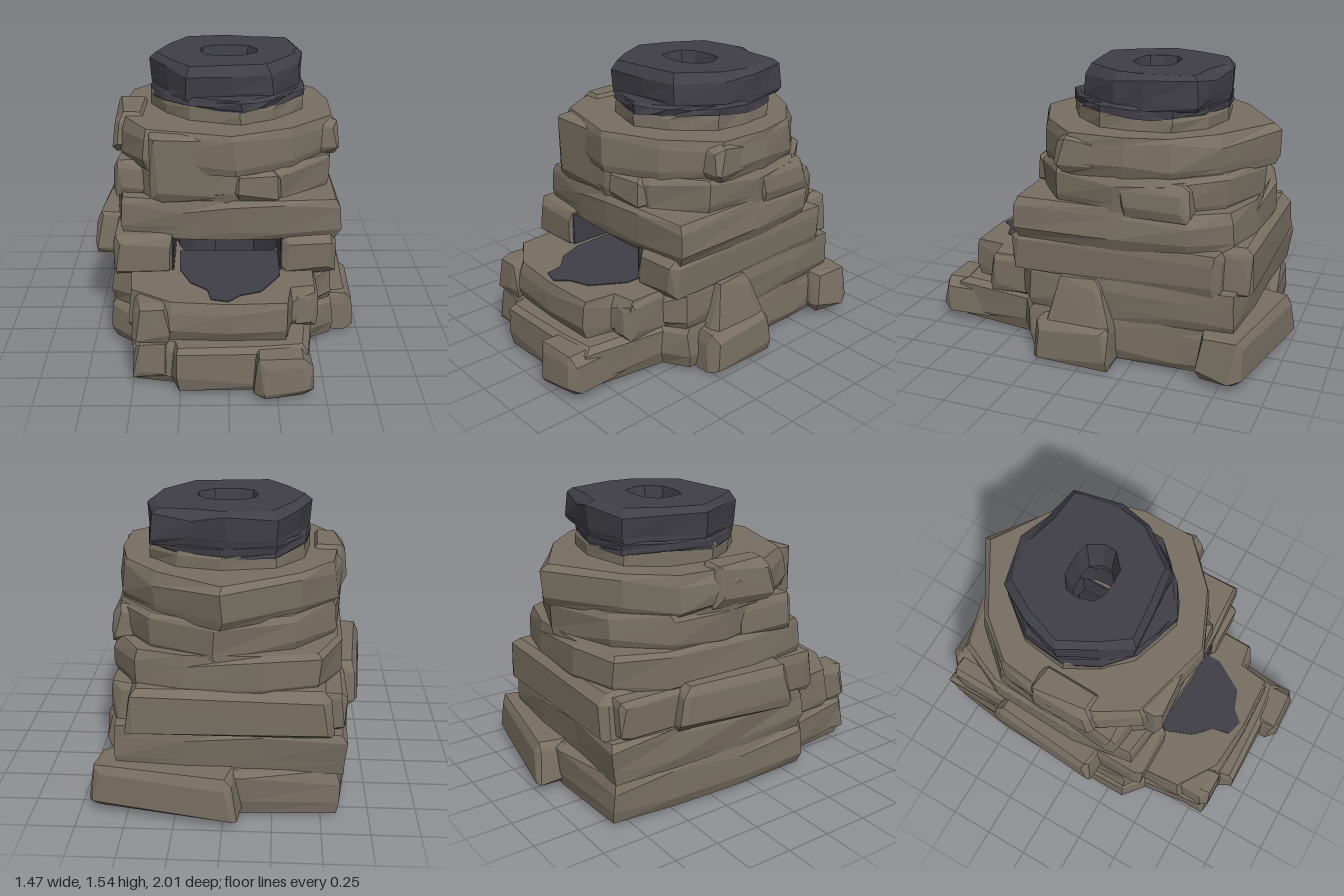
import * as THREE from 'three';
import { ConvexGeometry } from 'three/addons/geometries/ConvexGeometry.js';

const CX = 0.01, CZ = -0.19; // flue axis

export function createModel() {
  const group = new THREE.Group();
  const rock = new THREE.MeshStandardMaterial({ color: 0x786f62 });
  rock.name = 'rock';
  const soot = new THREE.MeshStandardMaterial({ color: 0x403f47 });
  soot.name = 'soot';

  let seed = 7;
  const rnd = (a) => {
    seed = (seed * 16807) % 2147483647;
    return (seed / 2147483647 * 2 - 1) * a;
  };
  const add = (name, geo, mat) => {
    const mesh = new THREE.Mesh(geo, mat);
    mesh.name = name;
    group.add(mesh);
    return mesh;
  };

  // A hollow stone course: outline [x, z] counterclockwise from above, with a rounded square hole
  function course(name, outline, y0, y1, hole, mats,
    { ragged = 0, holeTop = hole, bottom = 0.975, top = 0.96 } = {}) {
    const h = y1 - y0;
    const outer = (k, y, dip = 0) => outline.map(([x, z]) => [
      CX + (x - CX) * k + rnd(0.01), y + rnd(dip), CZ + (z - CZ) * k + rnd(0.01)]);
    const inner = (y, [rx, rz]) => outline.map(([x, z]) => {
      const a = Math.atan2(z - CZ, x - CX);
      const r = (Math.abs(Math.cos(a) / rx) ** 3 + Math.abs(Math.sin(a) / rz) ** 3) ** (-1 / 3);
      return [CX + r * Math.cos(a), y, CZ + r * Math.sin(a)];
    });
    const loops = [inner(y0, hole), outer(bottom, y0, ragged), outer(1, y0 + h * 0.24, h * 0.12),
      outer(0.995, y1 - h * 0.2, h * 0.12), outer(top, y1), inner(y1, holeTop)];
    loops.push(loops[0]);
    const pos = [], n = outline.length;
    for (let s = 0; s < 6; s++) {
      for (let i = 0; i < n; i++) {
        const j = (i + 1) % n, a = loops[s], b = loops[s + 1];
        pos.push(...a[i], ...a[j], ...b[j], ...a[i], ...b[j], ...b[i]);
      }
    }
    const geo = new THREE.BufferGeometry();
    geo.setAttribute('position', new THREE.Float32BufferAttribute(pos, 3));
    geo.computeVertexNormals();
    geo.addGroup(0, n * 30, 0);
    geo.addGroup(n * 30, n * 6, 1);
    add(name, geo, mats);
  }

  // A single rough block with chipped corners, narrowing upwards by taper
  function stone(name, [x0, x1], [y0, y1], [z0, z1], turn = 0, taper = 0.92) {
    const size = [x1 - x0, y1 - y0, z1 - z0], pts = [];
    for (const sx of [-1, 1]) for (const sy of [-1, 1]) for (const sz of [-1, 1]) {
      for (let axis = 0; axis < 3; axis++) {
        const p = [sx, sy, sz].map((s, i) =>
          s * (size[i] / 2 - (i === axis ? 0 : 0.036 + rnd(0.026))) * (sy > 0 && i !== 1 ? taper : 1));
        pts.push(new THREE.Vector3(...p));
      }
    }
    const mesh = add(name, new ConvexGeometry(pts), rock);
    mesh.position.set((x0 + x1) / 2, (y0 + y1) / 2, (z0 + z1) / 2);
    mesh.rotation.y = turn;
  }

  const wall = [rock, soot], sooty = [soot, soot];

  // Base with the forecourt in front of the mouth
  course('baseCourse', [[0.6, -0.1], [0.59, -0.5], [0.58, -0.8], [0.25, -0.87], [-0.1, -0.88], [-0.6, -0.85],
    [-0.64, -0.5], [-0.66, -0.1], [-0.65, 0.36], [-0.53, 0.45], [-0.49, 0.8], [-0.29, 0.85], [-0.26, 0.92],
    [0.18, 0.91], [0.4, 0.88], [0.46, 0.42], [0.59, 0.34]], 0.02, 0.26, [0.38, 0.52], wall,
  { holeTop: [0.34, 0.52] });
  course('hearthCourse', [[0.59, -0.1], [0.58, -0.5], [0.57, -0.8], [0.2, -0.83], [-0.2, -0.83], [-0.62, -0.86],
    [-0.64, -0.5], [-0.65, -0.1], [-0.64, 0.36], [-0.53, 0.43], [-0.52, 0.66], [-0.3, 0.81], [0, 0.83],
    [0.3, 0.82], [0.33, 0.66], [0.46, 0.63], [0.47, 0.42], [0.57, 0.34]], 0.25, 0.475, [0.34, 0.52], wall,
  { holeTop: [0.31, 0.5], top: 0.975 });
  stone('frontStep', [0.12, 0.43], [0.03, 0.25], [0.6, 1.0], 0.05);
  stone('forecourtStone', [-0.5, -0.29], [0.04, 0.27], [0.5, 0.84]);
  stone('forecourtStone', [-0.5, -0.3], [0.25, 0.465], [0.5, 0.84]);
  stone('forecourtStone', [0.32, 0.48], [0.25, 0.47], [0.38, 0.66]);
  stone('leftButtress', [0.22, 0.725], [0.0, 0.23], [-0.17, 0.28], 0, 0.96);
  stone('leftButtressTop', [0.4, 0.68], [0.16, 0.47], [-0.16, 0.22], 0, 0.62);
  stone('backFooting', [-0.1, 0.7], [0.03, 0.27], [-0.94, -0.68], -0.18);

  // Fire mouth: side and back walls
  stone('mouthWall', [-0.62, -0.3], [0.45, 0.68], [-0.8, 0.45], 0, 1);
  stone('mouthWall', [0.29, 0.585], [0.45, 0.68], [-0.72, 0.45], 0, 1);
  stone('mouthBack', [-0.56, 0.5], [0.45, 0.7], [-0.87, -0.56], 0, 0.96);
  stone('sideBoulder', [-0.72, -0.5], [0.46, 0.7], [-0.49, 0.2], -0.08);

  // Sooty lining of the mouth and the ash spilling out
  for (const x of [-0.297, 0.287]) {
    add('sideLining', new THREE.BoxGeometry(0.008, 0.19, 0.9), soot).position.set(x, 0.565, -0.02);
  }
  for (const s of [-1, 1]) {
    const plate = add('backLining', new THREE.BoxGeometry(0.36, 0.2, 0.008), soot);
    plate.position.set(-0.02 + s * 0.16, 0.565, -0.5);
    plate.rotation.y = s * -0.3;
  }
  const ash = new THREE.Shape([[-0.27, 0.2], [-0.26, 0.43], [-0.2, 0.58], [-0.11, 0.66], [-0.09, 0.76], [0, 0.785],
    [0.06, 0.72], [0.17, 0.68], [0.22, 0.6], [0.28, 0.5], [0.28, 0.2]].map(([x, z]) => new THREE.Vector2(x, -z)));
  const ashMesh = add('ash', new THREE.ExtrudeGeometry(ash, { depth: 0.008, bevelEnabled: false }), soot);
  ashMesh.rotation.x = -Math.PI / 2;
  ashMesh.position.y = 0.472;

  // Lintel course and the tapering body
  course('lintelCourse', [[0.6, -0.15], [0.58, -0.55], [0.45, -0.76], [0.2, -0.82], [-0.2, -0.83], [-0.48, -0.76],
    [-0.6, -0.5], [-0.62, 0], [-0.58, 0.38], [-0.25, 0.42], [0.02, 0.44], [0.3, 0.43], [0.6, 0.41]],
  0.65, 0.875, [0.3, 0.42], wall);
  course('bodyCourse', [[0.59, -0.15], [0.56, -0.46], [0.38, -0.7], [0.05, -0.82], [-0.35, -0.7], [-0.57, -0.46],
    [-0.6, -0.15], [-0.56, 0.16], [-0.4, 0.38], [0, 0.43], [0.3, 0.37], [0.56, 0.18]],
  0.85, 1.05, [0.3, 0.4], wall);
  course('crownCourse', [[0.59, -0.2], [0.54, -0.44], [0.36, -0.66], [0.01, -0.88], [-0.38, -0.64], [-0.57, -0.42],
    [-0.62, -0.1], [-0.58, 0.15], [-0.44, 0.36], [0.03, 0.47], [0.34, 0.34], [0.59, 0.1]],
  1.03, 1.25, [0.28, 0.34], wall);
  stone('bodyStone', [0.02, 0.28], [0.86, 1.03], [0.2, 0.43], 0.1);
  stone('bodyStone', [0.38, 0.6], [0.84, 1.03], [-0.56, -0.16]);
  stone('bodyStone', [-0.61, -0.4], [0.85, 1.05], [-0.05, 0.3], -0.1);
  stone('crownStone', [-0.42, 0.01], [0.87, 1.24], [0.16, 0.43], 0.08, 1);
  stone('crownStone', [0.38, 0.6], [1.04, 1.24], [-0.08, 0.18], 0.12);
  stone('crownStone', [-0.63, -0.42], [1.05, 1.27], [-0.25, 0.16], 0, 0.85);

  // Collar flaring upwards, blackened with a ragged edge around its rim
  const collar = [[0.43, -0.2], [0.41, -0.3], [0.4, -0.4], [0.25, -0.54], [0.02, -0.59], [-0.25, -0.55],
    [-0.4, -0.36], [-0.43, -0.12], [-0.34, 0.05], [-0.2, 0.18], [-0.07, 0.23], [0.07, 0.28], [0.15, 0.23],
    [0.24, 0.17], [0.33, 0.08], [0.42, -0.02]];
  course('collar', collar, 1.2, 1.345, [0.26, 0.28], wall, { bottom: 0.93, top: 0.98 });
  course('collarSoot', collar, 1.315, 1.375, [0.24, 0.24], sooty, { ragged: 0.02, bottom: 1.005 });

  // Blackened chimney cap, dished around the flue
  course('chimneyCap', [[0.43, -0.25], [0.38, -0.53], [0.18, -0.56], [0, -0.61], [-0.26, -0.56], [-0.37, -0.36],
    [-0.43, -0.16], [-0.33, 0.04], [-0.23, 0.19], [0.02, 0.17], [0.24, 0.15], [0.41, -0.08]],
  1.355, 1.54, [0.125, 0.09], sooty, { holeTop: [0.16, 0.12], top: 0.9 });

  return group;
}
